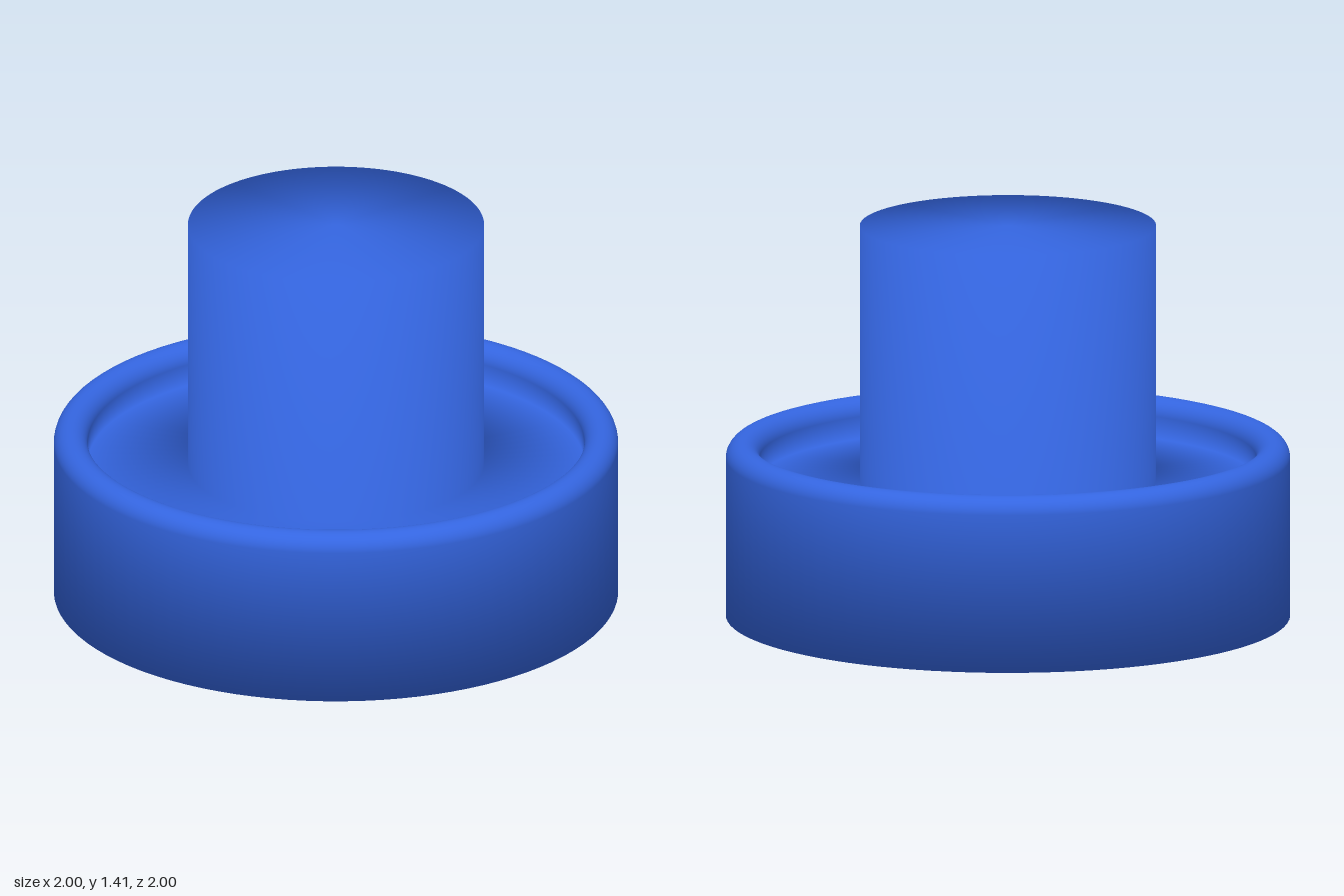
import * as THREE from 'three';

const SEGMENTS = 96;
const BASE_R = 1, RIM_R = 0.06, RIM_Y = 0.57;
const FLOOR_Y = 0.49, STEM_R = 0.525, STEM_TOP = 1.41;

// Half-round lip running from the outer wall over to the inner wall
function lipProfile(steps = 16) {
  return Array.from({ length: steps + 1 }, (_, i) => {
    const a = (i / steps) * Math.PI;
    return new THREE.Vector2(BASE_R - RIM_R + Math.cos(a) * RIM_R, RIM_Y + Math.sin(a) * RIM_R);
  });
}

export function createModel() {
  const model = new THREE.Group();
  model.name = 'button';

  // One turned surface, so the shading flows smoothly from part to part
  const profile = [
    new THREE.Vector2(0, 0), // underside
    new THREE.Vector2(BASE_R, 0), // outer wall
    ...lipProfile(),
    new THREE.Vector2(BASE_R - 2 * RIM_R, FLOOR_Y), // recessed floor
    new THREE.Vector2(STEM_R, FLOOR_Y), // central stem
    new THREE.Vector2(STEM_R, STEM_TOP),
    new THREE.Vector2(0, STEM_TOP),
  ];
  const body = new THREE.Mesh(
    new THREE.LatheGeometry(profile, SEGMENTS),
    new THREE.MeshStandardMaterial({ color: 0x3465e0 })
  );
  body.name = 'baseAndStem';
  model.add(body);

  return model;
}
